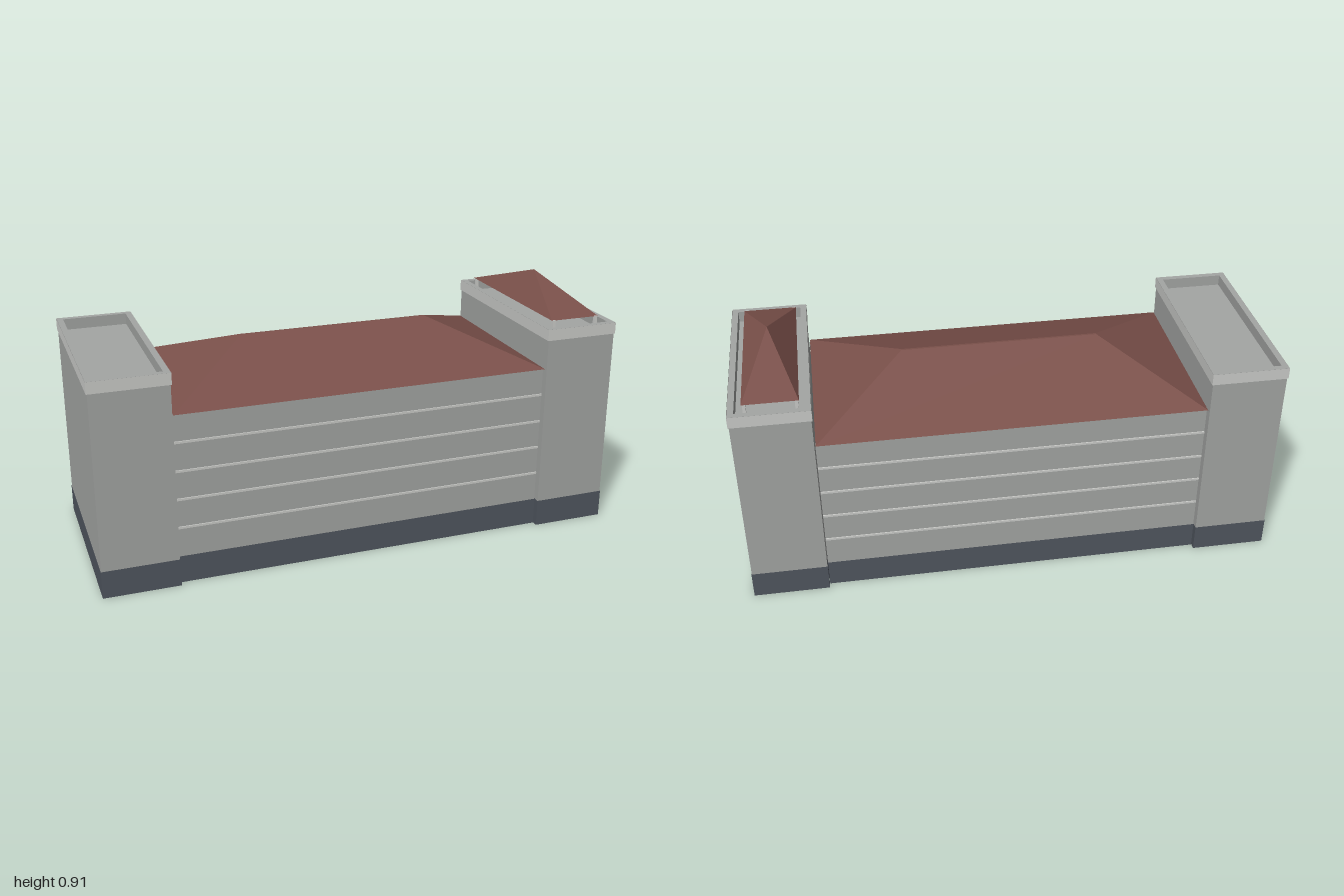
import * as THREE from 'three';

const paint = (name, color) => {
  const m = new THREE.MeshStandardMaterial({ color, side: THREE.DoubleSide });
  m.name = name;
  return m;
};

// Box without top and bottom: four upright walls
function shell(w, h, d) {
  const g = new THREE.BoxGeometry(w, h, d);
  const idx = Array.from(g.index.array);
  g.setIndex([...idx.slice(0, 12), ...idx.slice(24, 36)]);
  g.clearGroups();
  return g;
}

// Hipped roof: a box whose top is drawn in to a ridge
function hipRoof(w, h, d, ridgeLength, ridgeWidth) {
  const g = new THREE.BoxGeometry(w, h, d).toNonIndexed();
  const p = g.attributes.position;
  for (let i = 0; i < p.count; i++) {
    if (p.getY(i) > 0) {
      p.setX(i, Math.sign(p.getX(i)) * ridgeLength / 2);
      p.setZ(i, Math.sign(p.getZ(i)) * ridgeWidth / 2);
    }
  }
  g.clearGroups();
  g.computeVertexNormals();
  return g;
}

// Upright rectangular frame for the parapet
function frame(w, h, d, t) {
  const rect = (S, a, b) => {
    const s = new S();
    s.moveTo(-a, -b);
    s.lineTo(a, -b);
    s.lineTo(a, b);
    s.lineTo(-a, b);
    s.closePath();
    return s;
  };
  const s = rect(THREE.Shape, w / 2, d / 2);
  s.holes.push(rect(THREE.Path, w / 2 - t, d / 2 - t));
  const g = new THREE.ExtrudeGeometry(s, { depth: h, bevelEnabled: false });
  return g.rotateX(-Math.PI / 2).translate(0, -h / 2, 0);
}

export function createModel() {
  const wall = paint('wall grey', 0xa4a6a4);
  const trim = paint('pale trim', 0xcccdca);
  const plinth = paint('slate plinth', 0x50565f);
  const tile = paint('roof red', 0x7a504a);

  const model = new THREE.Group();
  model.name = 'building';
  // The whole building stands slightly turned
  model.rotation.y = -0.085;

  const add = (parent, name, geometry, material, x, y, z) => {
    const m = new THREE.Mesh(geometry, material);
    m.name = name;
    m.position.set(x, y, z);
    parent.add(m);
    return m;
  };

  // Main block between the towers
  const main = new THREE.Group();
  main.name = 'mainBlock';
  model.add(main);
  add(main, 'mainWalls', shell(1.388, 0.636, 0.694), wall, 0, 0.318, 0);
  add(main, 'mainPlinth', shell(1.388, 0.102, 0.698), plinth, 0, 0.051, 0);
  for (const y of [0.212, 0.319, 0.424, 0.53]) {
    for (const s of [-1, 1]) {
      add(main, 'floorBand', new THREE.BoxGeometry(1.386, 0.008, 0.006), trim, 0, y, s * 0.348);
    }
  }
  add(main, 'mainRoof', hipRoof(1.386, 0.138, 0.726, 0.724, 0.008), tile, 0, 0.704, 0);

  // End towers with sunken flat roofs
  for (const s of [-1, 1]) {
    const tower = new THREE.Group();
    tower.name = s > 0 ? 'leftTower' : 'rightTower';
    tower.position.x = s * 0.833;
    model.add(tower);
    add(tower, 'towerWalls', shell(0.272, 0.747, 0.738), wall, 0, 0.3735, 0);
    add(tower, 'towerPlinth', shell(0.275, 0.102, 0.741), plinth, 0, 0.051, 0);
    add(tower, 'parapet', frame(0.277, 0.042, 0.743, 0.022), wall, 0, 0.767, 0);
    add(tower, 'cornice', shell(0.279, 0.042, 0.745), trim, 0, 0.767, 0);
    add(tower, 'flatRoof', new THREE.BoxGeometry(0.27, 0.004, 0.736), wall, 0, 0.745, 0);
  }

  // Pavilion roof on corner posts, on one tower only
  const pavilion = new THREE.Group();
  pavilion.name = 'pavilion';
  pavilion.position.x = 0.828;
  model.add(pavilion);
  for (const sx of [-1, 1]) {
    for (const sz of [-1, 1]) {
      add(pavilion, 'post', new THREE.BoxGeometry(0.011, 0.06, 0.011), trim, sx * 0.087, 0.776, sz * 0.32);
    }
  }
  add(pavilion, 'pavilionRoof', hipRoof(0.192, 0.107, 0.652, 0, 0), tile, 0, 0.8585, -0.003);

  const root = new THREE.Group();
  root.name = 'model';
  root.add(model);
  return root;
}
